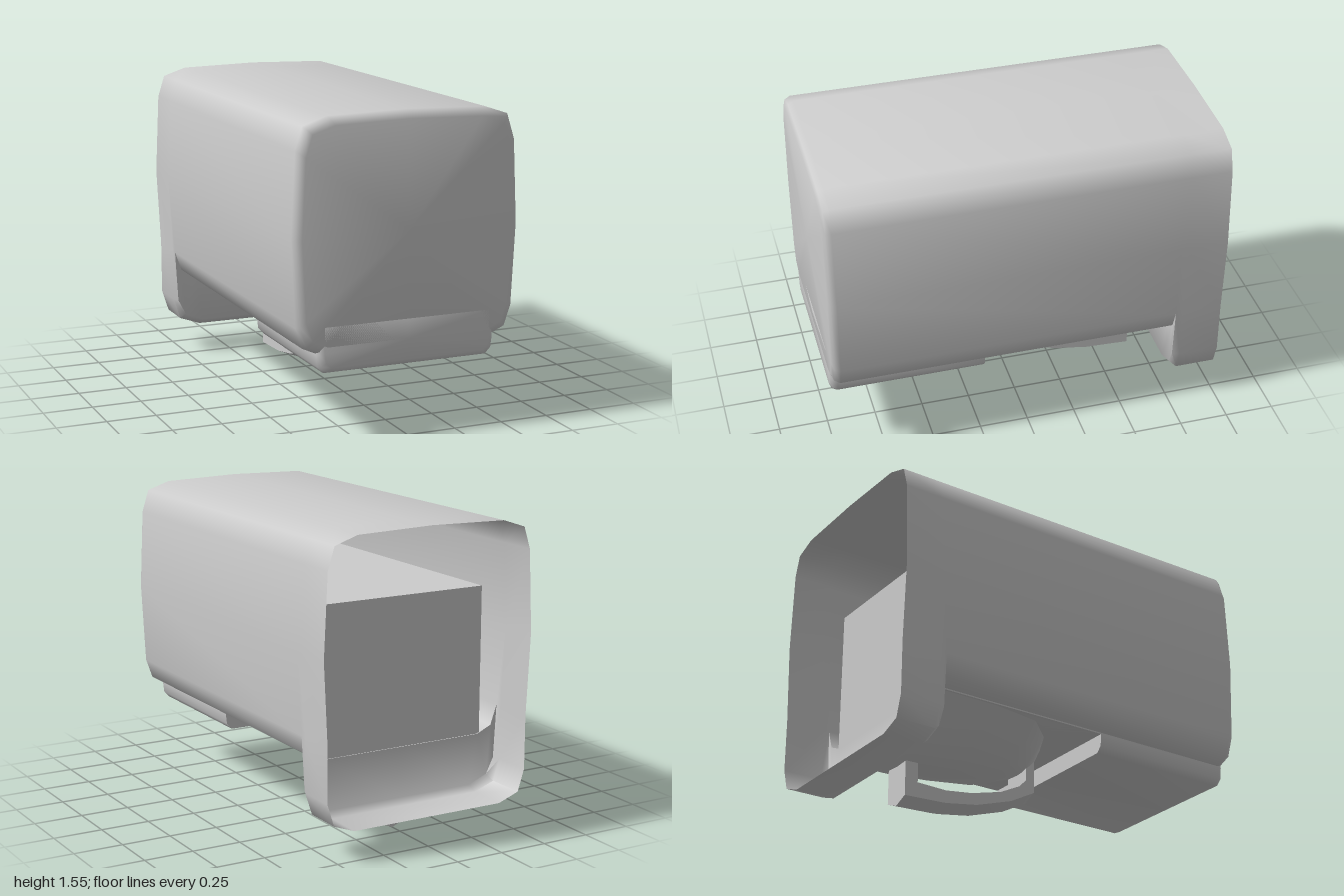
import * as THREE from 'three';
import { toCreasedNormals } from 'three/addons/utils/BufferGeometryUtils.js';

const material = new THREE.MeshStandardMaterial({ color: 0xcccccc, side: THREE.DoubleSide });

// Half outline from bottom centre to top centre, mirrored into a closed loop
const mirror = (half) => [...half, ...half.slice(1, -1).reverse().map(([x, y]) => [-x, y])];

// Place an outline at depth z, shrunk by an inset towards its centre
function ring(outline, z, inset = 0) {
  const ys = outline.map((p) => p[1]);
  const low = Math.min(...ys), high = Math.max(...ys), cy = (low + high) / 2;
  const sx = 1 - inset / Math.max(...outline.map((p) => p[0]));
  const sy = 1 - inset / ((high - low) / 2);
  return outline.map(([x, y]) => [x * sx, cy + (y - cy) * sy, z]);
}

// Skin rings that run from front to back, with optional end caps
function loft(rings, capFront, capBack) {
  const n = rings[0].length, index = [], points = rings.flat();
  for (let k = 0; k < rings.length - 1; k++) {
    for (let i = 0; i < n; i++) {
      const a = k * n + i, b = k * n + (i + 1) % n;
      index.push(a, a + n, b, b, a + n, b + n);
    }
  }
  const cap = (k, flip) => {
    const ys = rings[k].map((p) => p[1]);
    const c = points.push([0, (Math.min(...ys) + Math.max(...ys)) / 2, rings[k][0][2]]) - 1;
    for (let i = 0; i < n; i++) {
      const a = k * n + i, b = k * n + (i + 1) % n;
      index.push(c, flip ? b : a, flip ? a : b);
    }
  };
  if (capFront) cap(0, false);
  if (capBack) cap(rings.length - 1, true);
  const geometry = new THREE.BufferGeometry();
  geometry.setAttribute('position', new THREE.Float32BufferAttribute(points.flat(), 3));
  geometry.setIndex(index);
  return toCreasedNormals(geometry, 1.05);
}

export function createModel() {
  const model = new THREE.Group();
  model.name = 'housing';
  const add = (name, geometry) => {
    const mesh = new THREE.Mesh(geometry, material);
    mesh.name = name;
    model.add(mesh);
    return mesh;
  };

  // Shell: closed rounded front, open back with a deeper hood
  const upper = [[0.555, 0.57], [0.575, 0.98], [0.555, 1.39], [0.52, 1.5], [0.4, 1.54], [0, 1.55]];
  const body = mirror([[0, 0.435], [0.44, 0.435], [0.52, 0.47], [0.555, 0.57], ...upper]);
  const hoodEdge = mirror([[0, 0.18], [0.4, 0.18], [0.5, 0.22], [0.54, 0.3], ...upper]);
  const hood = mirror([[0, 0.15], [0.41, 0.15], [0.52, 0.19], [0.555, 0.3], ...upper]);
  add('shell', loft([
    ring(body, 1, 0.04), ring(body, 0.988, 0.012), ring(body, 0.96),
    ring(body, -0.76), ring(hoodEdge, -0.76), ring(hood, -0.795), ring(hood, -1),
  ], true, false));

  // Inner block seen through the open back
  const block = add('innerBlock', new THREE.BoxGeometry(0.91, 0.745, 1.65));
  block.position.set(0, 0.8075, 0.07);

  // Raised plate under the front
  const plate = mirror([[0, 0.345], [0.42, 0.345], [0.448, 0.375], [0.455, 0.435], [0.455, 0.6], [0, 0.6]]);
  add('bottomPlate', loft([
    ring(plate, 1, 0.03), ring(plate, 0.99, 0.01), ring(plate, 0.965), ring(plate, 0.21),
  ], true, true));

  // Bowl-shaped pod under the back: [z, half width, bottom]
  const section = [[0, 0], [0.16, 0.02], [0.4, 0.15], [0.73, 0.6], [1, 1], [0, 1]];
  const stations = [[0.08, 0.12, 0.36], [0, 0.27, 0.31], [-0.15, 0.41, 0.26],
    [-0.4, 0.45, 0.228], [-0.6, 0.45, 0.208], [-0.7, 0.45, 0.205], [-0.75, 0.44, 0.23]];
  add('pod', loft(stations.map(([z, w, b]) =>
    ring(mirror(section.map(([x, t]) => [x * w, b + (0.44 - b) * t])), z)), true, true));

  // Curved handle, its lower ridge pulled down along the middle
  const side = [[0.07, 0.42], [0.07, 0.215], [-0.07, 0.14], [-0.27, 0.075], [-0.45, 0.045], [-0.68, 0.035],
    [-0.68, 0.24], [-0.61, 0.24], [-0.61, 0.115], [-0.45, 0.11], [-0.3, 0.13], [-0.13, 0.175],
    [-0.02, 0.23], [0.02, 0.27], [0.02, 0.42]];
  const half = 0.078;
  const handle = new THREE.ExtrudeGeometry(
    new THREE.Shape(side.map(([z, y]) => new THREE.Vector2(z, y))),
    { depth: half * 2, steps: 2, bevelEnabled: false });
  handle.translate(0, 0, -half).rotateY(-Math.PI / 2);
  const position = handle.attributes.position;
  for (let i = 0; i < position.count; i++) {
    const drop = 0.032 * (1 - Math.abs(position.getX(i)) / half);
    position.setY(i, position.getY(i) - drop);
  }
  add('handle', toCreasedNormals(handle, 0.4));

  return model;
}
